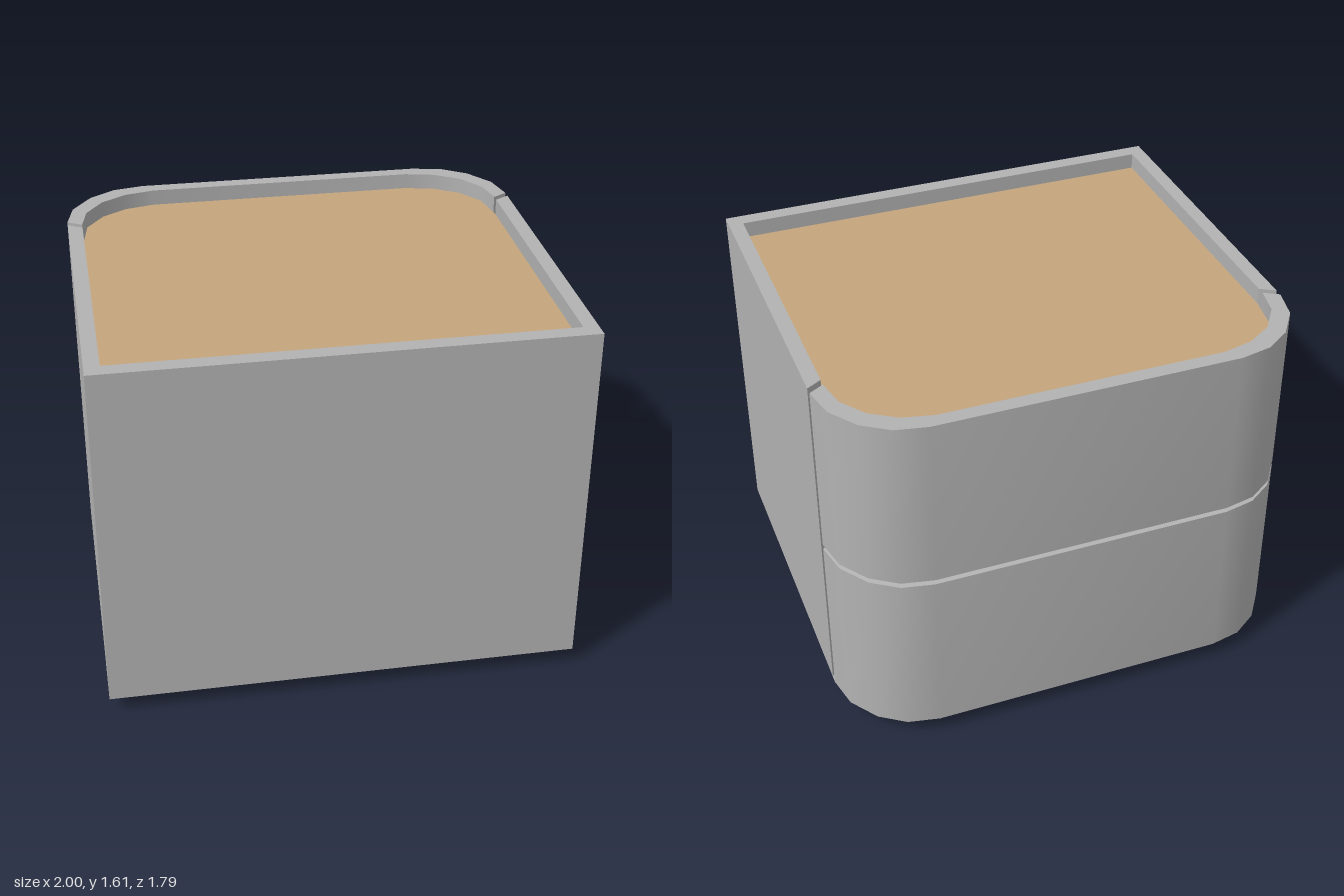
import * as THREE from 'three';
import { toCreasedNormals } from 'three/addons/utils/BufferGeometryUtils.js';

const BOTTOM = 0.075, TOP = 1.61, PANEL_TOP = 1.54, SEAM = 0.845;

// Half outlines [x, z] of the rounded end, from the vertical seam to the flat
const OUTER = [[1, -0.53], [0.97, -0.67], [0.885, -0.79], [0.775, -0.865], [0.64, -0.893]];
const INNER = [[0.937, -0.493], [0.912, -0.62], [0.835, -0.73], [0.725, -0.8], [0.595, -0.83]];
const mirrored = (half) => [...half, ...half.map(([x, z]) => [-x, z]).reverse()];

// Vertical prism from an [x, z] outline
function prism(points, y0, y1) {
  const shape = new THREE.Shape(points.map(([x, z]) => new THREE.Vector2(x, -z)));
  const geo = new THREE.ExtrudeGeometry(shape, { depth: y1 - y0, bevelEnabled: false });
  return geo.rotateX(-Math.PI / 2).translate(0, y0, 0);
}

// Curved drawer front: a four-cornered section swept round the rounded end
function drawerFront(outerY0, outerY1, innerY0, innerY1) {
  const inner = mirrored(INNER);
  const rings = mirrored(OUTER).map(([x, z], i) => {
    const [u, w] = inner[i];
    return [[x, outerY0, z], [x, outerY1, z], [u, innerY1, w], [u, innerY0, w]];
  });
  const pos = [];
  const quad = (a, b, c, d) => pos.push(...a, ...b, ...c, ...a, ...c, ...d);
  for (let i = 0; i < rings.length - 1; i++) {
    const p = rings[i], q = rings[i + 1];
    for (let j = 0; j < 4; j++) {
      const k = (j + 1) % 4;
      quad(p[j], q[j], q[k], p[k]);
    }
  }
  quad(...rings[0]);
  quad(...[...rings[rings.length - 1]].reverse());
  const geo = new THREE.BufferGeometry();
  geo.setAttribute('position', new THREE.Float32BufferAttribute(pos, 3));
  return toCreasedNormals(geo, 0.6);
}

export function createModel() {
  const group = new THREE.Group();
  const grey = new THREE.MeshStandardMaterial({ color: 0xb2b2b2 });
  grey.name = 'grey paint';
  const wood = new THREE.MeshStandardMaterial({ color: 0xc4a57d });
  wood.name = 'light wood';
  const add = (name, geo, mat) => {
    const mesh = new THREE.Mesh(geo, mat);
    mesh.name = name;
    group.add(mesh);
  };

  // U-shaped wall with slanted ends beside the drawers
  add('cabinetWall', prism([
    [1, -0.498], [0.937, -0.46], [0.937, 0.825], [-0.937, 0.825],
    [-0.937, -0.46], [-1, -0.498], [-1, 0.893], [1, 0.893],
  ], BOTTOM, TOP), grey);

  // Drawer fronts meeting at a V groove
  add('lowerDrawerFront', drawerFront(BOTTOM, SEAM - 0.011, BOTTOM, SEAM), grey);
  add('upperDrawerFront', drawerFront(SEAM + 0.011, TOP, SEAM, TOP), grey);

  // Closed bottom, inner body and recessed top panel
  add('bottomPlate', prism([...mirrored(OUTER), [-1, 0.893], [1, 0.893]], BOTTOM - 0.002, BOTTOM + 0.006), grey);
  const inside = [[0.937, 0.825], [0.937, -0.46], ...INNER.slice(1)];
  add('innerBody', prism(mirrored(inside), BOTTOM + 0.006, PANEL_TOP - 0.02), grey);
  add('topPanel', prism(mirrored(inside), PANEL_TOP - 0.02, PANEL_TOP), wood);

  // Recessed plinth
  add('plinth', new THREE.BoxGeometry(1.55, BOTTOM, 1.36).translate(0, BOTTOM / 2, 0.045), wood);

  return group;
}
